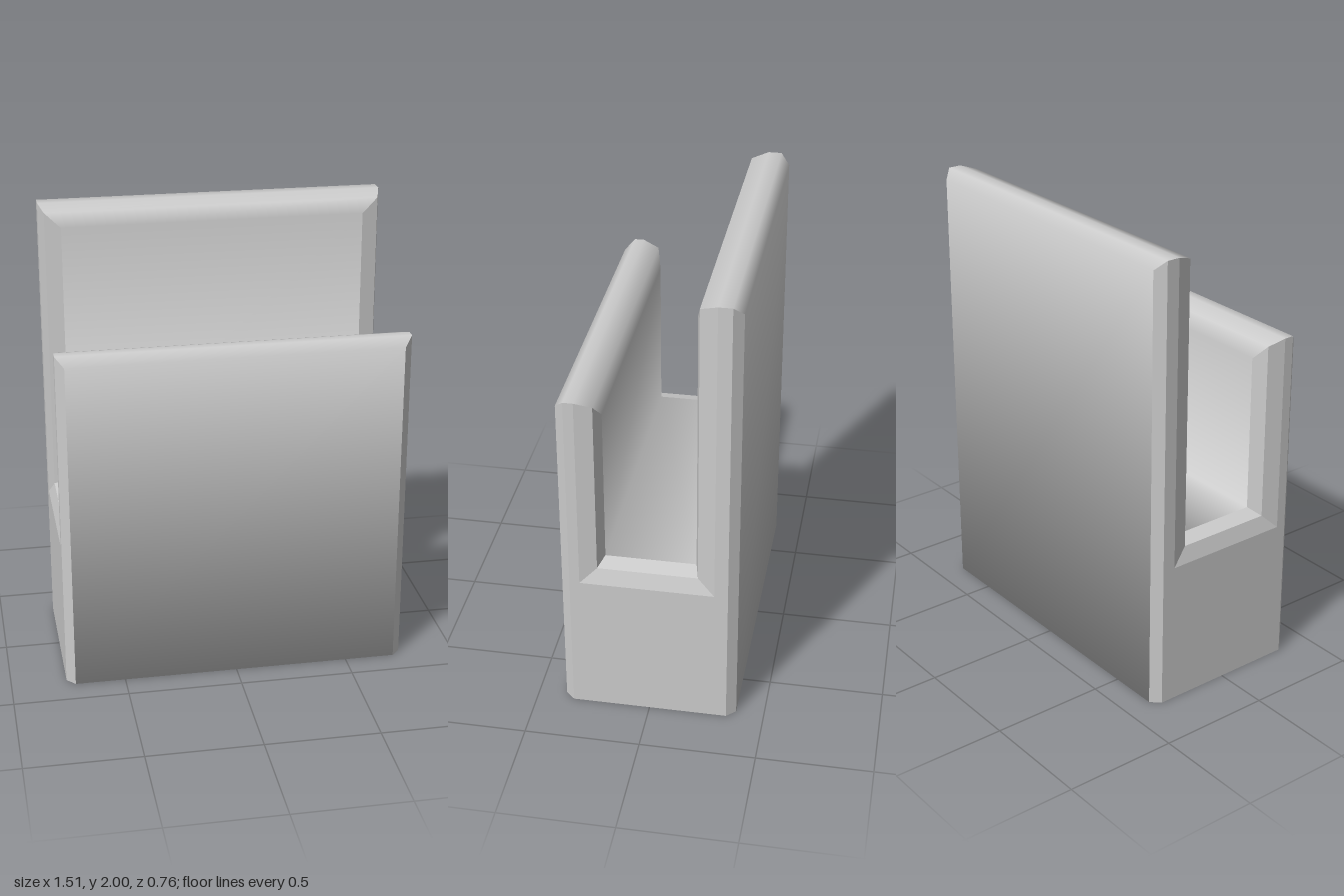
import * as THREE from 'three';

// Profile of the U-shaped bracket, running up the front, over and down the back.
// Each point gives [x, y, z] on three rings: face edge, mid bevel, end face.
function bracketRings() {
  const same = (p) => [p, p, p];
  const outer = (y, yEnd, z, zEnd) => [[0.72, y, z], [0.72, y, z], [0.757, yEnd, zEnd]];
  const mid = (y, z, yEnd, zEnd) => [[0.735, y, z], [0.735, y, z], [0.757, yEnd, zEnd]];
  const inner = (a, b, c) => [[0.665, ...a], [0.735, ...b], [0.757, ...c]];
  return [
    outer(0, 0, 0.378, 0.338),
    outer(1.48, 1.52, 0.378, 0.338),
    same([0.757, 1.52, 0.338]),
    same([0.757, 1.52, 0.295]),
    mid(1.495, 0.222, 1.52, 0.295),
    inner([1.425, 0.2], [1.495, 0.222], [1.52, 0.295]),
    inner([0.73, 0.2], [0.71, 0.222], [0.64, 0.295]),
    inner([0.73, -0.19], [0.71, -0.207], [0.64, -0.28]),
    inner([1.91, -0.19], [1.975, -0.207], [2, -0.28]),
    mid(1.975, -0.207, 2, -0.28),
    same([0.757, 2, -0.28]),
    same([0.757, 2, -0.338]),
    outer(1.96, 2, -0.378, -0.338),
    outer(0, 0, -0.378, -0.338),
  ];
}

// Long surfaces, with normals blended smoothly around the profile
function bodyGeometry(rings) {
  const n = rings.length;
  const segNormal = (i) => {
    const [, y0, z0] = rings[i][0];
    const [, y1, z1] = rings[(i + 1) % n][0];
    return new THREE.Vector3(0, z0 - z1, y1 - y0).normalize();
  };
  const pos = [], nor = [], index = [];
  for (let i = 0; i < n; i++) {
    const [x, y, z] = rings[i][0];
    const v = segNormal(i).add(segNormal((i + n - 1) % n)).normalize();
    pos.push(-x, y, z, x, y, z);
    nor.push(v.x, v.y, v.z, v.x, v.y, v.z);
    const l = 2 * i, m = 2 * ((i + 1) % n);
    index.push(l, l + 1, m + 1, l, m + 1, m);
  }
  const g = new THREE.BufferGeometry();
  g.setAttribute('position', new THREE.Float32BufferAttribute(pos, 3));
  g.setAttribute('normal', new THREE.Float32BufferAttribute(nor, 3));
  g.setIndex(index);
  return g;
}

// Faceted bevels and the flat end face; side is +1 or -1
function endGeometry(rings, side) {
  const pos = [];
  const tri = (...corners) => {
    const p = corners.map(([x, y, z]) => new THREE.Vector3(x * side, y, z));
    if (new THREE.Triangle(...p).getArea() < 1e-6) return;
    if (side < 0) p.reverse();
    p.forEach((v) => pos.push(v.x, v.y, v.z));
  };
  const quad = (a, b, c, d) => { tri(a, b, c); tri(a, c, d); };
  rings.forEach((p, i) => {
    const q = rings[(i + 1) % rings.length];
    for (let k = 0; k < 2; k++) quad(p[k], p[k + 1], q[k + 1], q[k]);
  });
  // front upright, base and back upright of the end face
  for (const face of [[0, 6, 3, 1], [0, 13, 7, 6], [13, 11, 10, 7]]) {
    quad(...face.map((i) => rings[i][2]));
  }
  const g = new THREE.BufferGeometry();
  g.setAttribute('position', new THREE.Float32BufferAttribute(pos, 3));
  g.computeVertexNormals();
  return g;
}

export function createModel() {
  const group = new THREE.Group();
  group.name = 'channelBracket';
  const smooth = new THREE.MeshStandardMaterial({ color: 0xcccccc });
  const flat = new THREE.MeshStandardMaterial({ color: 0xcccccc, flatShading: true });
  const rings = bracketRings();
  const add = (name, geometry, material) => {
    const mesh = new THREE.Mesh(geometry, material);
    mesh.name = name;
    group.add(mesh);
  };
  add('channelBody', bodyGeometry(rings), smooth);
  add('leftEnd', endGeometry(rings, 1), flat);
  add('rightEnd', endGeometry(rings, -1), flat);
  return group;
}
